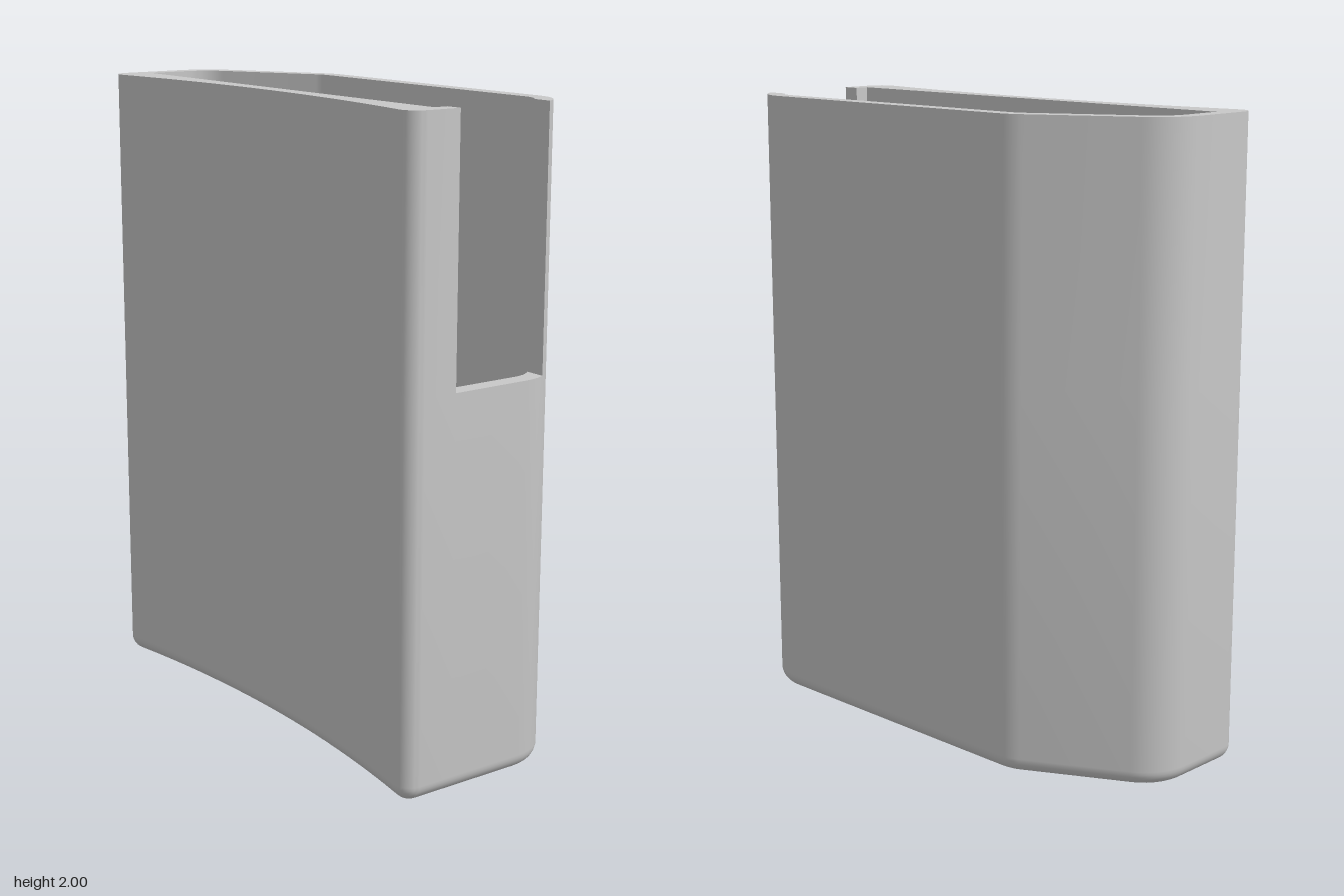
import * as THREE from 'three';
import { mergeGeometries, toCreasedNormals } from 'three/addons/utils/BufferGeometryUtils.js';

// Plan points are (x, v) with v = -z; loops run counter-clockwise seen from above.
const HEIGHT = 2, FLOOR = 0.053, EDGE = 0.05;
const NOTCH = { y: 1.21, front: -0.13, back: 0.208 };

// Closed loop from corners [x, v, radius]
function roundedLoop(corners) {
  const n = corners.length, out = [];
  corners.forEach(([x, v, r], i) => {
    const p = new THREE.Vector2(x, v);
    if (!r) return out.push(p);
    const a = new THREE.Vector2(...corners[(i + n - 1) % n]).sub(p).normalize();
    const b = new THREE.Vector2(...corners[(i + 1) % n]).sub(p).normalize();
    const half = Math.acos(a.dot(b)) / 2;
    const centre = a.clone().add(b).normalize().multiplyScalar(r / Math.sin(half)).add(p);
    const start = a.multiplyScalar(r / Math.tan(half)).add(p).sub(centre);
    const turn = Math.PI - 2 * half, steps = 10;
    for (let k = 0; k <= steps; k++) {
      out.push(start.clone().rotateAround(new THREE.Vector2(), turn * k / steps).add(centre));
    }
  });
  return out;
}

// Divide a loop at the side notch into its main run and its notch run
function splitAtNotch(loop) {
  const all = [];
  let iBack = 0, iFront = 0;
  loop.forEach((p, i) => {
    const q = loop[(i + 1) % loop.length];
    all.push(p);
    for (const level of [NOTCH.front, NOTCH.back]) {
      if (p.x > 0.6 && q.x > 0.6 && (p.y - level) * (q.y - level) < 0) {
        if (level === NOTCH.back) iBack = all.length; else iFront = all.length;
        all.push(p.clone().lerp(q, (level - p.y) / (q.y - p.y)));
      }
    }
  });
  return {
    all,
    main: all.slice(iBack, iFront + 1),
    notch: [...all.slice(iFront), ...all.slice(0, iBack + 1)],
  };
}

// Move every point inward along its averaged edge normal
function inset(loop, d) {
  const n = loop.length;
  return loop.map((p, i) => {
    const e1 = p.clone().sub(loop[(i + n - 1) % n]).normalize();
    const e2 = loop[(i + 1) % n].clone().sub(p).normalize();
    const t = e1.add(e2).normalize();
    return new THREE.Vector2(p.x - t.y * d, p.y + t.x * d);
  });
}

// Wall between two matching loops; faces the right of the travel direction
function band(low, y0, high, y1) {
  const pos = [], n = low.length;
  for (let i = 0; i < n; i++) {
    const j = (i + 1) % n;
    const a = [low[i].x, y0, -low[i].y], b = [low[j].x, y0, -low[j].y];
    const c = [high[j].x, y1, -high[j].y], d = [high[i].x, y1, -high[i].y];
    pos.push(...a, ...b, ...c, ...a, ...c, ...d);
  }
  return new THREE.BufferGeometry().setAttribute('position', new THREE.Float32BufferAttribute(pos, 3));
}

// Flat face at height y, facing up or down
function cap(loop, y, hole, down = false) {
  const shape = new THREE.Shape(loop);
  if (hole) shape.holes.push(new THREE.Path(hole));
  const g = new THREE.ShapeGeometry(shape);
  if (down) g.index.array.reverse();
  g.rotateX(-Math.PI / 2).translate(0, y, 0);
  const flat = g.toNonIndexed();
  flat.deleteAttribute('normal');
  flat.deleteAttribute('uv');
  return flat;
}

export function createModel() {
  const grey = new THREE.MeshStandardMaterial({ color: 0xc8c8c8 });
  grey.name = 'light grey';

  // Outer plan: hollowed front, chamfered back corner
  const frontCurve = [];
  for (let i = -13; i <= 13; i++) {
    const x = i * 0.05;
    frontCurve.push([x, -(0.231 + 0.0635 * (x / 0.745) ** 2), 0]);
  }
  const outer = splitAtNotch(roundedLoop([
    [0.795, 0, 0], [0.795, 0.295, 0.16], [-0.37, 0.295, 0.16], [-0.796, 0.061, 0.17],
    [-0.796, -0.303, 0.052], ...frontCurve, [0.795, -0.303, 0.052],
  ]));

  // Pocket plan: straight front, rounded back
  const inner = splitAtNotch(roundedLoop([
    [0.74, 0, 0], [0.74, 0.243, 0.107], [-0.355, 0.243, 0.107], [-0.744, 0.03, 0.117],
    [-0.744, -0.177, 0], [0.74, -0.177, 0],
  ]));

  // Slot through the floor
  const slot = roundedLoop([
    [0.03, -0.024, 0.0959], [0.472, -0.024, 0.0959], [0.472, 0.168, 0.0959], [0.03, 0.168, 0.0959],
  ]);

  // Underside and rounded bottom edge, rising to the notch level
  const rings = [];
  for (let k = 0; k <= 8; k++) {
    const a = (k / 8) * Math.PI / 2;
    rings.push({ loop: inset(outer.all, EDGE * (1 - Math.sin(a))), y: EDGE * (1 - Math.cos(a)) });
  }
  rings.push({ loop: outer.all, y: NOTCH.y });
  const parts = [cap(rings[0].loop, 0, slot, true)];
  for (let k = 1; k < rings.length; k++) {
    parts.push(band(rings[k - 1].loop, rings[k - 1].y, rings[k].loop, rings[k].y));
  }

  // Pocket lining, floor and slot wall
  const pocket = [...inner.all].reverse(), slotWall = [...slot].reverse();
  parts.push(
    band(pocket, FLOOR, pocket, NOTCH.y),
    cap(inner.all, FLOOR, slot),
    band(slotWall, 0, slotWall, FLOOR),
  );

  // Upper wall, open at the side notch, with its rim
  const upper = [...outer.main, ...[...inner.main].reverse()];
  parts.push(band(upper, NOTCH.y, upper, HEIGHT), cap(upper, HEIGHT));

  // Sill at the bottom of the notch
  parts.push(cap([...outer.notch, ...[...inner.notch].reverse()], NOTCH.y));

  // One continuous moulded shell
  const body = new THREE.Mesh(toCreasedNormals(mergeGeometries(parts), 0.5), grey);
  body.name = 'holderBody';
  const model = new THREE.Group();
  model.name = 'holder';
  model.add(body);
  return model;
}
